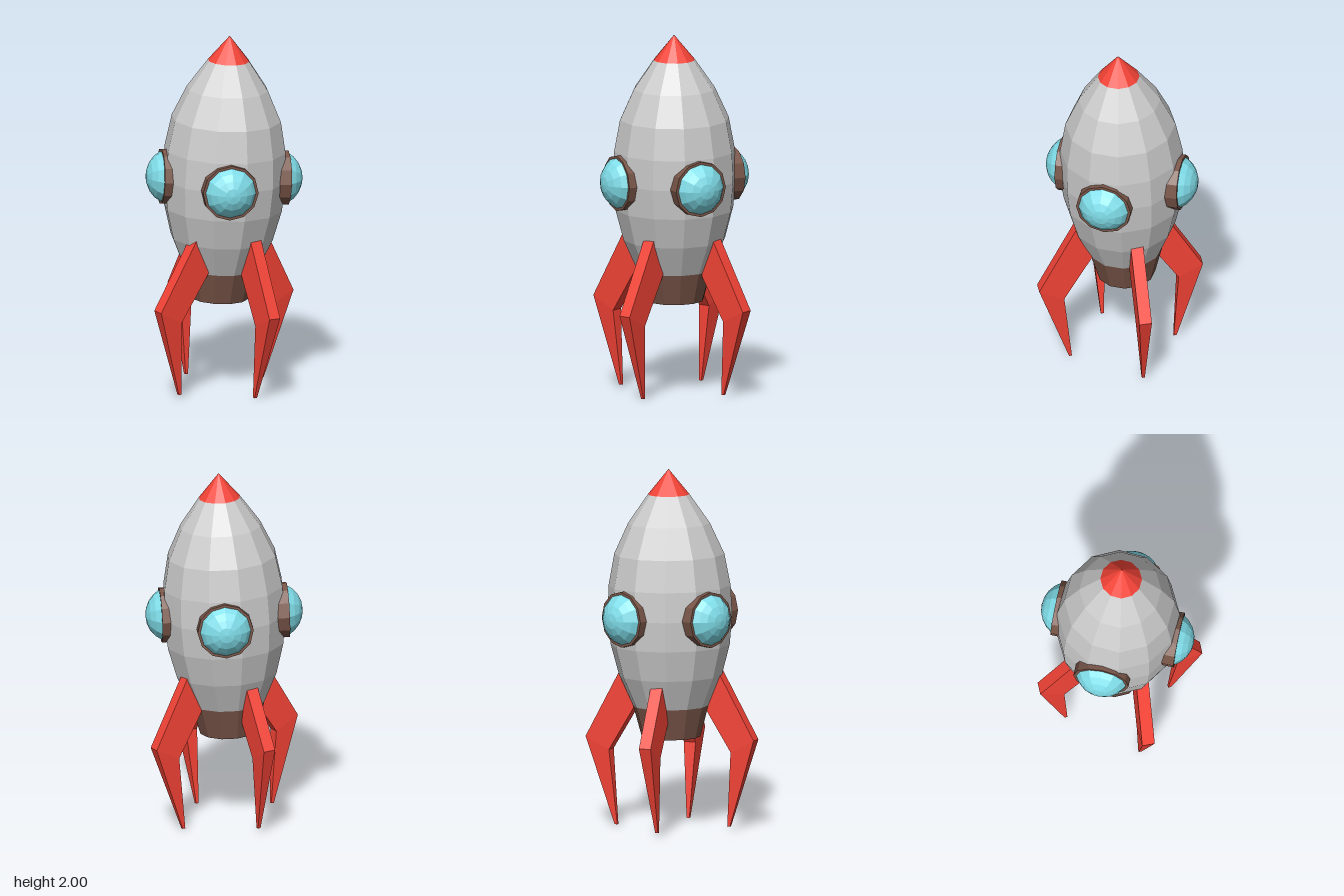
import * as THREE from 'three';
import { mergeVertices } from 'three/addons/utils/BufferGeometryUtils.js';

const paint = (color) => new THREE.MeshStandardMaterial({ color, flatShading: true });
const GREY = paint(0xcccccc), RED = paint(0xf44336), BROWN = paint(0x795548), GLASS = paint(0x80deea);
const SIDES = 12;

function mesh(name, geometry, material, parent) {
  const m = new THREE.Mesh(geometry, material);
  m.name = name;
  parent.add(m);
  return m;
}

// Profile of [radius, height] pairs, bottom to top, spun around y and welded at the seam
function spin(profile) {
  const g = new THREE.LatheGeometry(profile.map(([r, y]) => new THREE.Vector2(r, y)), SIDES);
  g.deleteAttribute('uv');
  g.deleteAttribute('normal');
  const welded = mergeVertices(g);
  welded.computeVertexNormals();
  return welded;
}

// Bent leg: rectangular sections at hip, knee and foot, tapering to the foot
function legGeometry() {
  const sections = [
    // outer [x, y], inner [x, y], half width
    [[0.20, 0.97], [0.11, 0.77], 0.035],
    [[0.46, 0.50], [0.322, 0.43], 0.035],
    [[0.303, 0.012], [0.287, 0.012], 0.008],
  ];
  const pos = [], index = [];
  for (const [o, i, w] of sections) pos.push(...o, w, ...o, -w, ...i, -w, ...i, w);
  for (let s = 0; s < 2; s++) {
    for (let k = 0; k < 4; k++) {
      const a = s * 4 + k, b = s * 4 + ((k + 1) % 4);
      index.push(a, a + 4, b, b, a + 4, b + 4);
    }
  }
  index.push(0, 1, 2, 0, 2, 3, 8, 10, 9, 8, 11, 10);
  const g = new THREE.BufferGeometry();
  g.setAttribute('position', new THREE.Float32BufferAttribute(pos, 3));
  g.setIndex(index);
  g.computeVertexNormals();
  return g;
}

// Porthole facing +z: collar with a thin flat rim and a shallow domed pane
function porthole() {
  const g = new THREE.Group();
  g.name = 'porthole';
  const collar = spin([[0.155, -0.11], [0.155, 0], [0.138, 0], [0.138, -0.02]]);
  mesh('portholeFrame', collar.rotateX(Math.PI / 2), BROWN, g);
  const R = 0.162, sunk = 0.08;
  const dome = new THREE.SphereGeometry(R, SIDES, 4, 0, Math.PI * 2, 0, Math.acos((sunk - 0.005) / R));
  mesh('portholeGlass', dome.translate(0, -sunk, 0).rotateX(Math.PI / 2), GLASS, g);
  return g;
}

export function createModel() {
  const rocket = new THREE.Group();
  rocket.name = 'rocket';

  // Hull
  const hull = new THREE.Group();
  hull.name = 'hull';
  hull.rotation.y = -0.06;
  rocket.add(hull);
  mesh('engineBase', spin([[0, 0.512], [0.162, 0.512], [0.208, 0.685]]), BROWN, hull);
  mesh('body', spin([
    [0.208, 0.685], [0.284, 0.855], [0.329, 1.025], [0.344, 1.19],
    [0.337, 1.355], [0.304, 1.53], [0.226, 1.70], [0.115, 1.86],
  ]), GREY, hull);
  mesh('noseCone', spin([[0.115, 1.86], [0, 2.0]]), RED, hull);

  // Four portholes and four legs around the hull, each set a little off the radial line
  const leg = legGeometry();
  for (let i = 0; i < 4; i++) {
    const turn = (i * Math.PI) / 2;
    const sideways = i % 2 === 0;

    const windowArm = new THREE.Group();
    windowArm.name = 'portholeMount';
    windowArm.rotation.y = turn - 0.27;
    const port = porthole();
    port.position.set(-0.02, 1.195, 0.351);
    windowArm.add(port);
    rocket.add(windowArm);

    const legArm = new THREE.Group();
    legArm.name = 'legMount';
    legArm.rotation.y = turn + 0.148;
    mesh('leg', leg, RED, legArm).position.set(sideways ? 0.016 : 0.003, 0, sideways ? -0.06 : -0.031);
    legArm.position.set(0.014, 0, 0.033);
    rocket.add(legArm);
  }

  // Slight lean of the whole ship
  rocket.rotation.set(0.03, 0, -0.029);
  rocket.position.set(-0.018, 0, -0.028);
  const model = new THREE.Group();
  model.name = 'model';
  model.add(rocket);
  return model;
}
